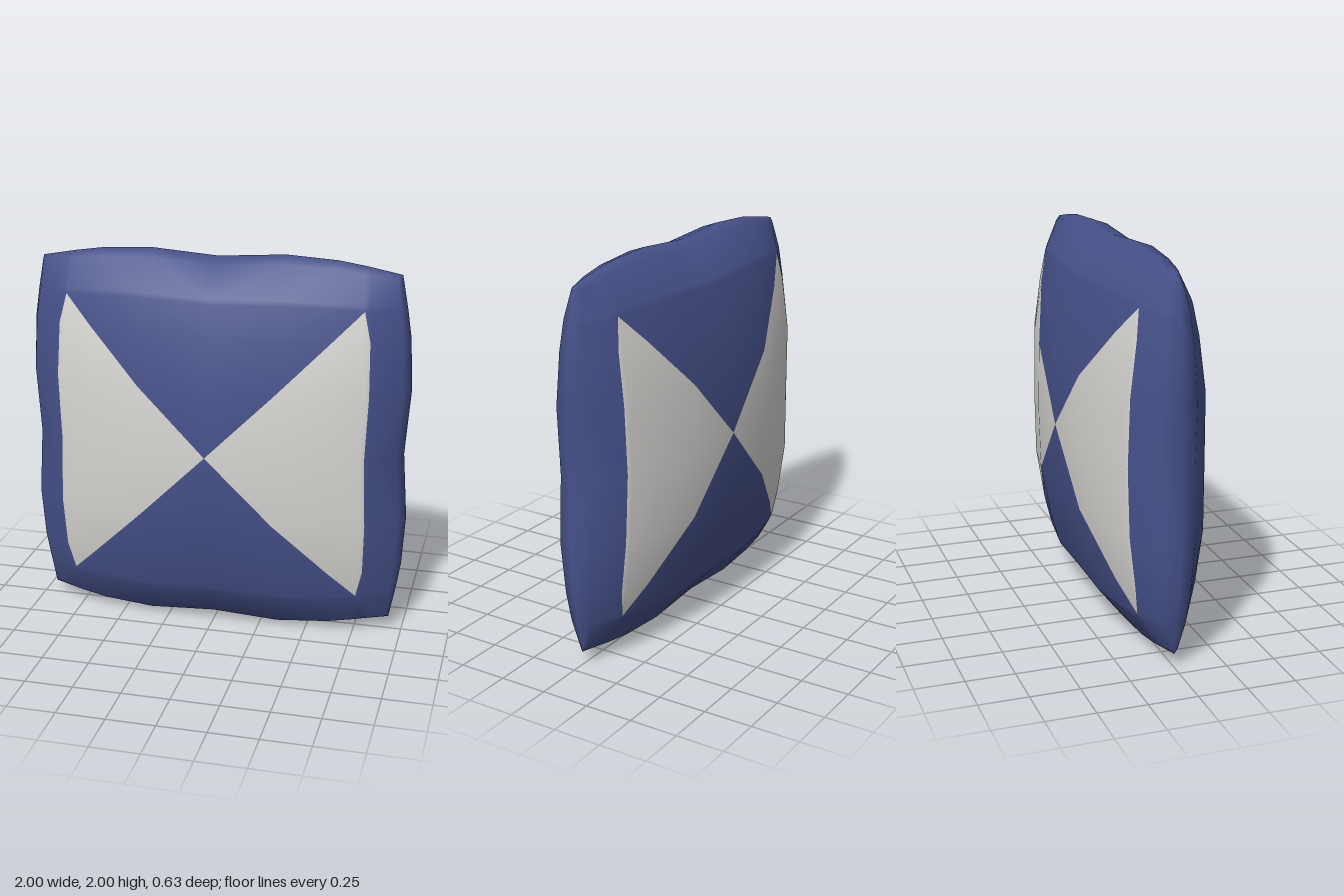
import * as THREE from 'three';

// grid lines from the middle of the cushion to its seam
const LINES = [0, 0.35, 0.63, 0.785, 0.81, 0.97, 1];
// relative thickness and seam distance at each grid line
const PUFF = [1, 0.968, 0.794, 0.65, 0.62, 0.28, 0];
const SEAM = [0.975, 1, 0.985, 0.964, 0.96, 0.935, 0.93];
const HALF_DEPTH = 0.315;

const blue = new THREE.MeshStandardMaterial({ color: 0x46518a });
blue.name = 'blueFabric';
const white = new THREE.MeshStandardMaterial({ color: 0xd8d6d3 });
white.name = 'whiteFabric';

// position for signed grid steps i and j on the front (side 1) or back (side -1)
function cushionPoint(i, j, side) {
  const a = Math.abs(i), b = Math.abs(j);
  const u = LINES[a] * Math.sign(i), v = LINES[b] * Math.sign(j);
  const x = u * (1 - (1 - SEAM[b]) * u * u);
  const y = v * (1 - (1 - SEAM[a]) * v * v);
  // the lower seam sags slightly forward in the middle
  const sag = v < -0.9 ? 0.027 * (1 - u * u) : 0;
  return [x, y + 1, side * HALF_DEPTH * PUFF[a] * PUFF[b] + sag];
}

// bow-tie patch: two triangles with softened outer tips
function isWhite(corners) {
  let s = 0, t = 0;
  for (const [i, j] of corners) {
    s += LINES[Math.abs(i)] / 3;
    t += LINES[Math.abs(j)] / 3;
  }
  const edge = 0.81 - 0.025 * Math.max(0, (t - 0.63) / 0.155);
  return t < s && s < edge;
}

function createCushionGeometry() {
  const m = LINES.length - 1, n = 2 * m + 1;
  const positions = [], blueFaces = [], whiteFaces = [];
  for (const side of [1, -1]) {
    for (let j = -m; j <= m; j++) {
      for (let i = -m; i <= m; i++) positions.push(...cushionPoint(i, j, side));
    }
  }
  // front and back share their seam vertices
  const vertex = (i, j, side) => {
    const onSeam = Math.abs(i) === m || Math.abs(j) === m;
    return (j + m) * n + i + m + (side < 0 && !onSeam ? n * n : 0);
  };
  for (const side of [1, -1]) {
    for (let j = -m; j < m; j++) {
      for (let i = -m; i < m; i++) {
        const a = [i, j], b = [i + 1, j], c = [i + 1, j + 1], d = [i, j + 1];
        // split each cell away from the middle, except beside the patch tips
        const tip = Math.min(Math.abs(i), Math.abs(i + 1)) === 3
          && Math.min(Math.abs(j), Math.abs(j + 1)) === 2;
        const rising = ((i >= 0) === (j >= 0)) !== tip;
        const triangles = rising ? [[a, b, c], [a, c, d]] : [[a, b, d], [b, c, d]];
        for (const tri of triangles) {
          const ids = tri.map(([p, q]) => vertex(p, q, side));
          if (side < 0) ids.reverse();
          (isWhite(tri) ? whiteFaces : blueFaces).push(...ids);
        }
      }
    }
  }
  const geometry = new THREE.BufferGeometry();
  geometry.setAttribute('position', new THREE.Float32BufferAttribute(positions, 3));
  geometry.setIndex([...blueFaces, ...whiteFaces]);
  geometry.addGroup(0, blueFaces.length, 0);
  geometry.addGroup(blueFaces.length, whiteFaces.length, 1);
  geometry.computeVertexNormals();
  return geometry;
}

export function createModel() {
  const model = new THREE.Group();
  model.name = 'pillow';
  const cushion = new THREE.Mesh(createCushionGeometry(), [blue, white]);
  cushion.name = 'cushion';
  model.add(cushion);
  return model;
}
